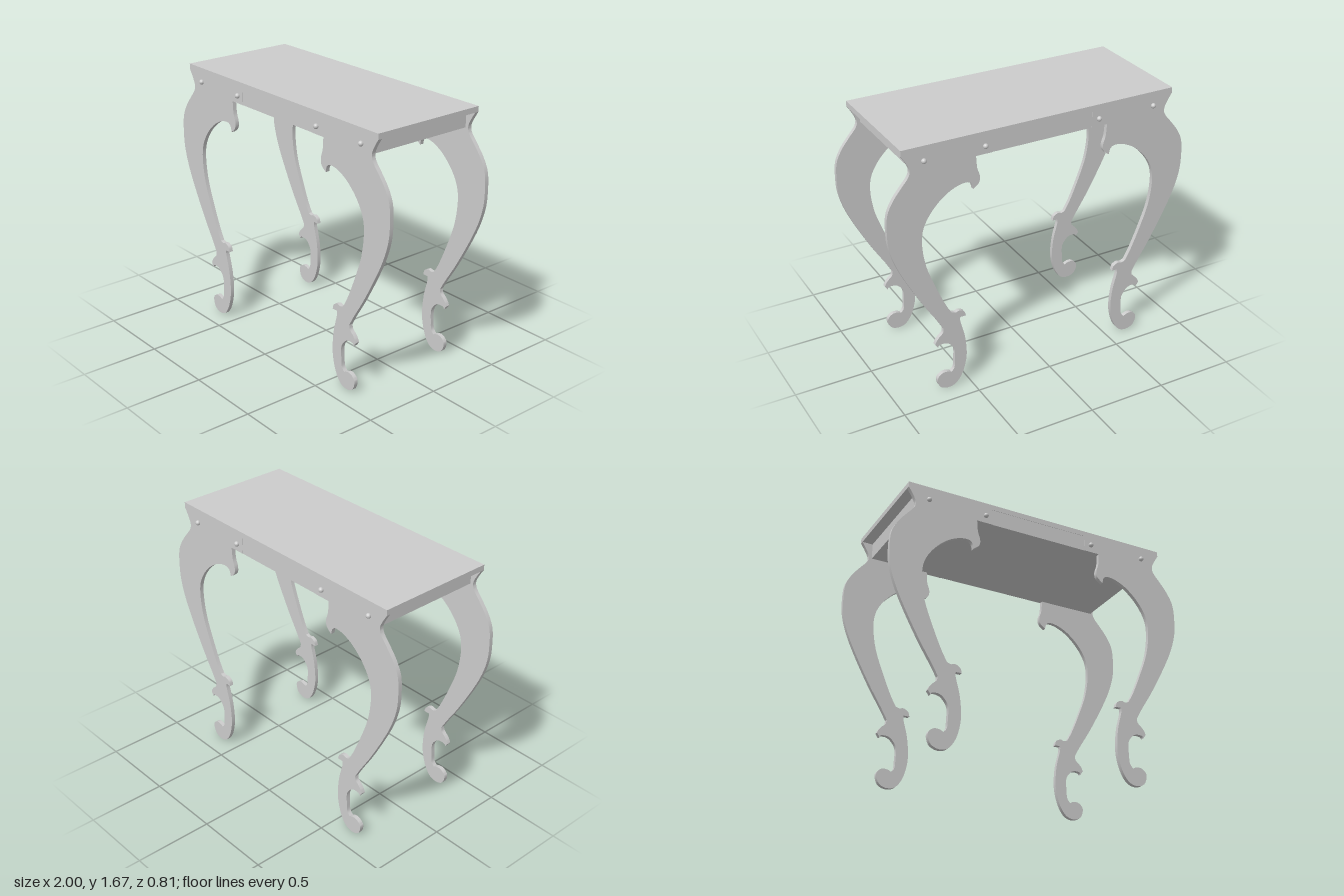
import * as THREE from 'three';
import { toCreasedNormals } from 'three/addons/utils/BufferGeometryUtils.js';

const material = new THREE.MeshStandardMaterial({ color: 0xcccccc });
const HALF_DEPTH = 0.382;
const PLATE = 0.026;

// Cabriole leg outline: each run is a smooth curve, with a sharp corner between runs
const LEG_RUNS = [
  // outer edge: neck, knee and shin
  [[0.869, 1.594], [0.848, 1.551], [0.847, 1.519], [0.864, 1.487], [0.901, 1.444], [0.955, 1.374], [0.992, 1.294],
    [1, 1.187], [0.992, 1.08], [0.955, 0.957], [0.89, 0.818], [0.794, 0.642], [0.714, 0.513], [0.671, 0.438]],
  // outer ankle spur
  [[0.677, 0.41], [0.703, 0.385], [0.72, 0.364], [0.73, 0.342]],
  [[0.712, 0.316]],
  // hollow above the foot
  [[0.703, 0.33], [0.666, 0.332], [0.634, 0.316], [0.602, 0.267], [0.602, 0.187], [0.607, 0.134], [0.628, 0.107]],
  // curled toe and heel
  [[0.652, 0.118], [0.687, 0.118], [0.719, 0.091], [0.719, 0.053], [0.698, 0.016], [0.65, 0], [0.596, 0.016],
    [0.553, 0.075], [0.527, 0.16], [0.521, 0.24], [0.532, 0.348], [0.559, 0.455], [0.559, 0.487]],
  // inner ankle spur
  [[0.521, 0.487]],
  [[0.532, 0.519], [0.564, 0.535], [0.59, 0.529], [0.615, 0.537]],
  // inner edge up to the bracket hook
  [[0.655, 0.61], [0.714, 0.749], [0.767, 0.898], [0.789, 1.043], [0.778, 1.15], [0.725, 1.246], [0.644, 1.326],
    [0.564, 1.369], [0.5, 1.38], [0.468, 1.364], [0.457, 1.326]],
  [[0.42, 1.358], [0.414, 1.401], [0.43, 1.455], [0.436, 1.53]],
];

function legGeometry() {
  const shape = new THREE.Shape();
  shape.moveTo(0.33, 1.635);
  shape.lineTo(0.895, 1.635);
  for (const run of LEG_RUNS) {
    if (run.length === 1) shape.lineTo(...run[0]);
    else shape.splineThru(run.map(([x, y]) => new THREE.Vector2(x, y)));
  }
  shape.lineTo(0.33, 1.53);
  shape.closePath();
  const geo = new THREE.ExtrudeGeometry(shape, { depth: PLATE, bevelEnabled: false, curveSegments: 4 });
  return toCreasedNormals(geo, 0.6);
}

export function createModel() {
  const group = new THREE.Group();
  const add = (name, geometry, x, y, z) => {
    const mesh = new THREE.Mesh(geometry, material);
    mesh.name = name;
    mesh.position.set(x, y, z);
    group.add(mesh);
    return mesh;
  };

  // Table top and the solid apron box beneath it
  add('tableTop', new THREE.BoxGeometry(1.79, 0.035, HALF_DEPTH * 2), 0, 1.6525, 0);
  add('apron', new THREE.BoxGeometry(1.65, 0.105, HALF_DEPTH * 2 - 0.004), 0, 1.5825, 0);

  // Four flat legs; a half turn gives the -x side
  const leg = legGeometry();
  const names = { '11': 'frontLeftLeg', '1-1': 'backLeftLeg', '-11': 'frontRightLeg', '-1-1': 'backRightLeg' };
  for (const sx of [1, -1]) {
    for (const sz of [1, -1]) {
      const outward = sx * sz > 0 ? HALF_DEPTH - PLATE : -HALF_DEPTH;
      const mesh = add(names[`${sx}${sz}`], leg, 0, 0, sx * outward);
      if (sx < 0) mesh.rotation.y = Math.PI;
    }
  }

  // Round bolt heads, two on each leg plate
  const bolt = new THREE.SphereGeometry(0.016, 16, 12);
  for (const x of [-0.76, -0.377, 0.377, 0.76]) {
    for (const sz of [1, -1]) add('bolt', bolt, x, 1.58, sz * 0.387);
  }
  return group;
}
